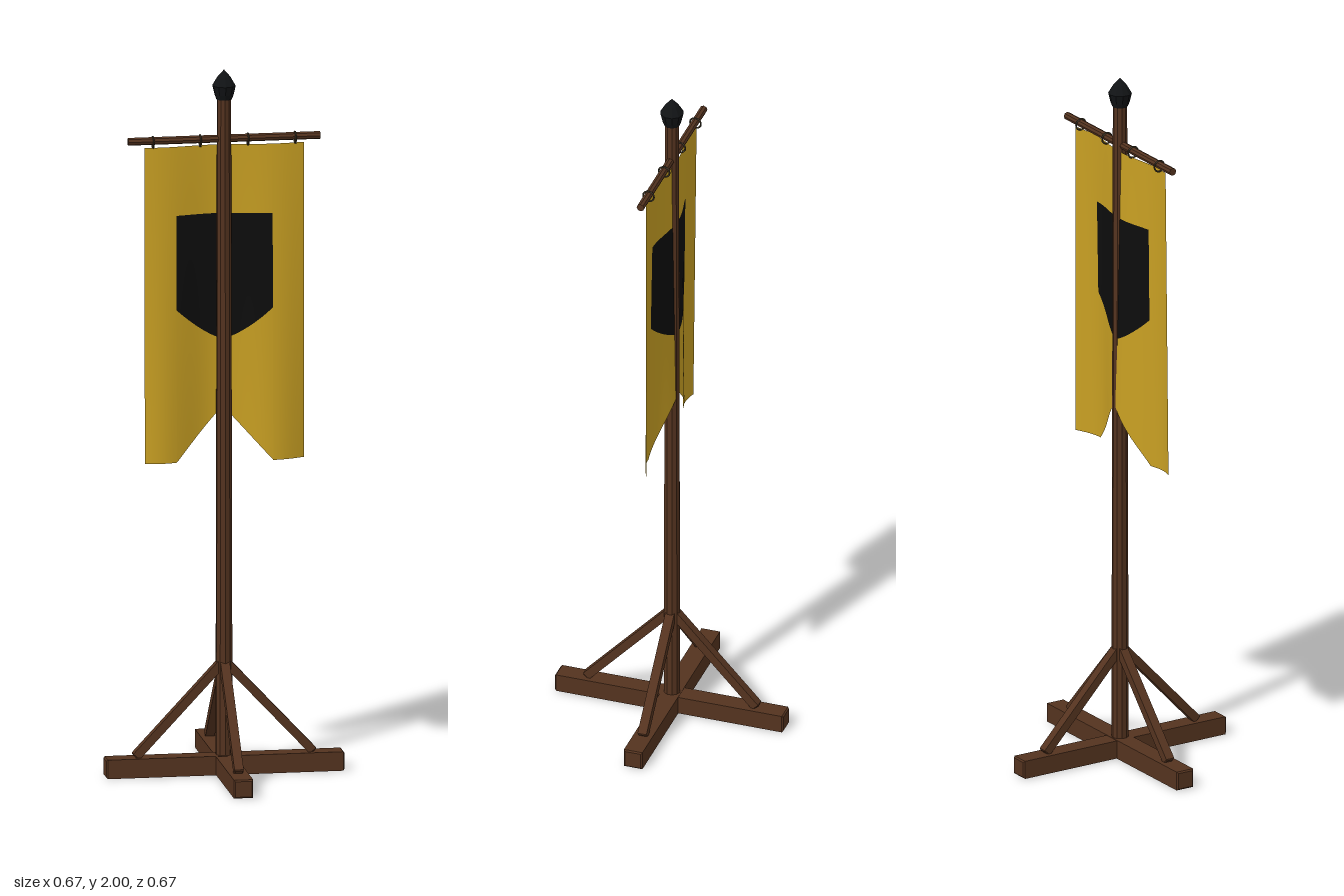
import * as THREE from 'three';

const { lerp, clamp } = THREE.MathUtils;

function material(name, color, extra = {}) {
  const m = new THREE.MeshStandardMaterial({ color, ...extra });
  m.name = name;
  return m;
}

export function createModel() {
  const wood = material('brown wood', 0x54331f, { flatShading: true });
  const iron = material('black iron', 0x111315, { flatShading: true });
  const rope = material('dark rope', 0x40392a);
  const gold = material('gold cloth', 0xc9a023, { side: THREE.DoubleSide });
  const black = material('black cloth', 0x0d0d0d, { side: THREE.DoubleSide });

  const model = new THREE.Group();
  model.name = 'bannerStand';

  function add(name, geometry, mat, x = 0, y = 0, z = 0, parent = model) {
    const mesh = new THREE.Mesh(geometry, mat);
    mesh.name = name;
    mesh.position.set(x, y, z);
    parent.add(mesh);
    return mesh;
  }

  // Bevelled beam lying along x, centred on the origin
  function beam(length, height, depth, bevel) {
    const w = depth / 2 - bevel, h = height / 2 - bevel;
    const shape = new THREE.Shape([[-w, -h], [w, -h], [w, h], [-w, h]].map(p => new THREE.Vector2(...p)));
    const geometry = new THREE.ExtrudeGeometry(shape, {
      depth: length - 2 * bevel, bevelSize: bevel, bevelThickness: bevel, bevelSegments: 1,
    });
    return geometry.translate(0, 0, -length / 2 + bevel).rotateY(Math.PI / 2);
  }

  // Crossed feet
  add('footAcross', beam(0.67, 0.054, 0.054, 0.004), wood, 0, 0.027, 0);
  add('footAlong', beam(0.67, 0.052, 0.054, 0.004), wood, 0, 0.027, 0).rotation.y = Math.PI / 2;

  // Four slanted braces from the feet up to the pole
  const low = new THREE.Vector2(0.25, 0.055), high = new THREE.Vector2(0.005, 0.317);
  const span = high.clone().sub(low);
  for (let i = 0; i < 4; i++) {
    const arm = new THREE.Group();
    arm.name = 'braceArm';
    arm.rotation.y = i * Math.PI / 2;
    model.add(arm);
    const brace = add('brace', beam(span.length(), 0.024, 0.026, 0.003), wood,
      (low.x + high.x) / 2, (low.y + high.y) / 2, 0, arm);
    brace.rotation.z = span.angle();
  }

  // Pole, crossbar and pointed finial
  add('pole', new THREE.CylinderGeometry(0.02, 0.024, 1.9, 10), wood, 0, 0.97, 0);
  add('crossbar', new THREE.CylinderGeometry(0.011, 0.011, 0.54, 8).rotateZ(Math.PI / 2), wood, 0, 1.804, 0);
  const finialProfile = [[0, 1.914], [0.022, 1.916], [0.027, 1.93], [0.033, 1.955], [0.018, 1.98], [0, 2]];
  add('finial', new THREE.LatheGeometry(finialProfile.map(p => new THREE.Vector2(...p)), 10), iron);

  // Rope rings tying the cloth to the crossbar
  for (const x of [-0.2, -0.067, 0.067, 0.2]) {
    add('ring', new THREE.TorusGeometry(0.016, 0.0025, 6, 16).rotateY(Math.PI / 2), rope, x, 1.8, 0);
  }

  // Cloth folds deepen towards the hem
  const top = 1.786, hem = 0.89;
  const fold = (x, y) => lerp(0.008, 0.023, (top - y) / (top - hem))
    * Math.cos(2 * Math.PI * (x + 0.18) / 0.32);

  // Sheet of cloth between two height curves
  function sheet(x0, x1, upper, lower, columns) {
    const geometry = new THREE.PlaneGeometry(1, 1, columns, 12);
    const p = geometry.attributes.position;
    for (let i = 0; i < p.count; i++) {
      const x = lerp(x0, x1, p.getX(i) + 0.5);
      const y = lerp(lower(x), upper(x), p.getY(i) + 0.5);
      p.setXYZ(i, x, y, fold(x, y));
    }
    geometry.computeVertexNormals();
    return geometry;
  }

  const half = 0.225, crest = 0.135;
  const topEdge = () => top;
  const hemEdge = () => hem;
  const shieldTop = () => 1.59;
  // Rounded lower edge of the shield, and the swallowtail notch
  const shieldBase = x => 1.232 + 0.09 * Math.pow(Math.abs(x) / crest, 1.4);
  const notch = x => lerp(1.04, hem, clamp(Math.abs(x) / crest, 0, 1));

  const banner = new THREE.Group();
  banner.name = 'banner';
  model.add(banner);
  const cloth = (name, mat, ...args) => add(name, sheet(...args), mat, 0, 0, 0, banner);
  cloth('clothRight', gold, -half, -crest, topEdge, hemEdge, 10);
  cloth('clothLeft', gold, crest, half, topEdge, hemEdge, 10);
  cloth('clothAboveShield', gold, -crest, crest, topEdge, shieldTop, 30);
  cloth('shield', black, -crest, crest, shieldTop, shieldBase, 30);
  cloth('clothBelowShield', gold, -crest, crest, shieldBase, notch, 30);

  return model;
}
